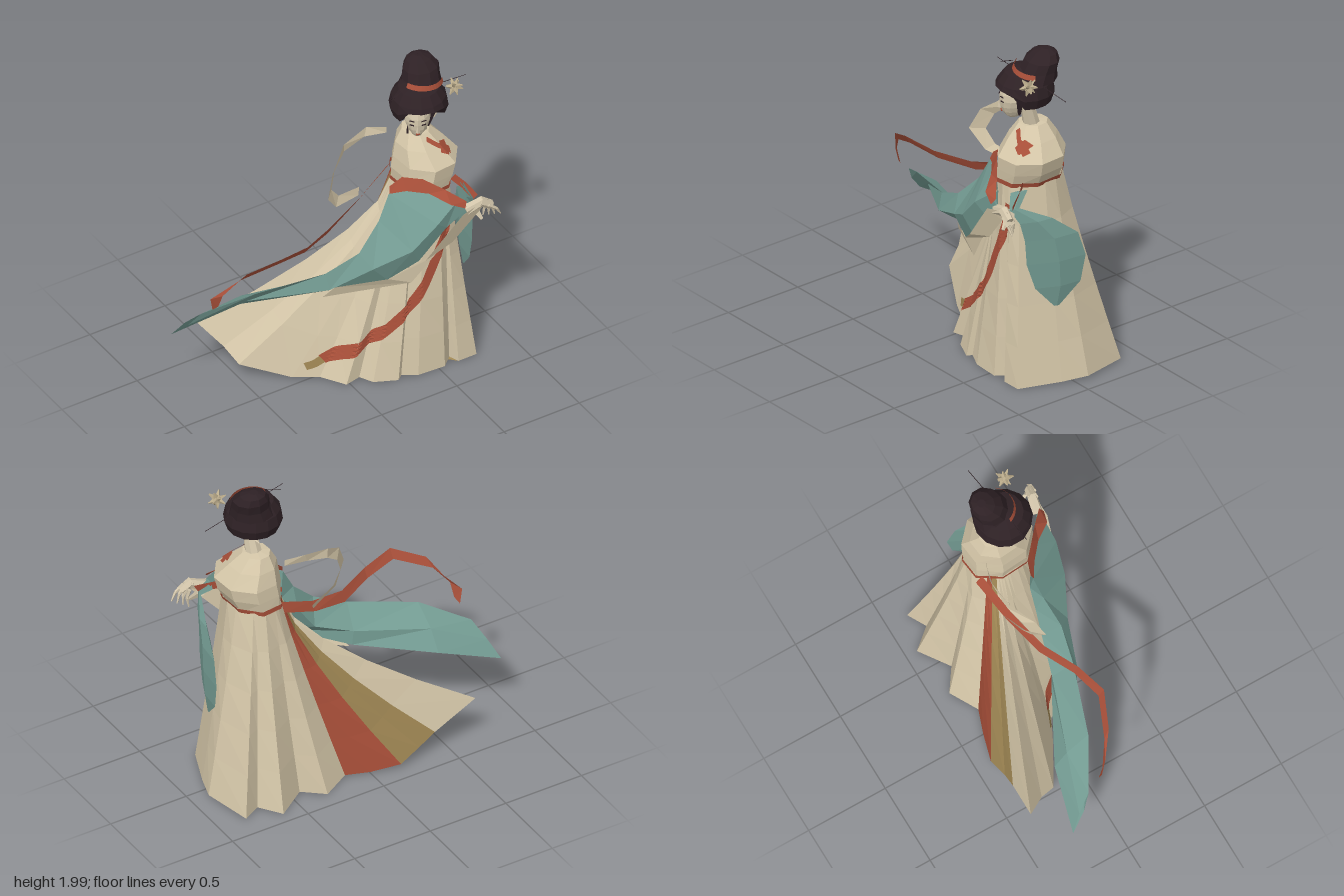
import * as THREE from 'three';

const V = (a) => new THREE.Vector3(...a);
const mat = (name, color) => {
  const m = new THREE.MeshStandardMaterial({ color, flatShading: true, side: THREE.DoubleSide });
  m.name = name;
  return m;
};

// Faceted surface through rows of points; closed joins each row's ends
function loft(rows, closed = false) {
  const out = [];
  for (let i = 0; i < rows.length - 1; i++) {
    const n = rows[i].length;
    for (let j = 0; j < (closed ? n : n - 1); j++) {
      const k = (j + 1) % n;
      const a = rows[i][j], b = rows[i][k], c = rows[i + 1][k], d = rows[i + 1][j];
      out.push(...a, ...b, ...d, ...b, ...c, ...d);
    }
  }
  const g = new THREE.BufferGeometry();
  g.setAttribute('position', new THREE.Float32BufferAttribute(out, 3));
  g.computeVertexNormals();
  return g;
}

const ring = (cx, y, cz, rx, rz, n = 8) => Array.from({ length: n }, (_, i) => {
  const a = (i / n) * Math.PI * 2 + 0.3;
  return [cx + rx * Math.cos(a), y, cz + rz * Math.sin(a)];
});

// Tapered rod between two points
function rod(a, b, r1, r2, sides = 6) {
  const A = V(a), B = V(b), d = B.clone().sub(A);
  const g = new THREE.CylinderGeometry(r2, r1, d.length(), sides);
  g.applyQuaternion(new THREE.Quaternion().setFromUnitVectors(V([0, 1, 0]), d.normalize()));
  const m = A.add(B).multiplyScalar(0.5);
  return g.translate(m.x, m.y, m.z);
}

// Thin painted band laid on the front of a mesh, following x,y points
function drape(target, pts, width, steps = 60) {
  const curve = new THREE.CatmullRomCurve3(pts.map(([x, y]) => V([x, y, 0])));
  const ray = new THREE.Raycaster();
  const rows = [];
  let last = 0.2;
  for (let i = 0; i <= steps; i++) {
    const p = curve.getPointAt(i / steps), t = curve.getTangentAt(i / steps);
    const row = [];
    for (let j = -2; j <= 2; j++) {
      const x = p.x - t.y * width * j / 4, y = p.y + t.x * width * j / 4;
      ray.set(V([x, y, 3]), V([0, 0, -1]));
      const hit = ray.intersectObject(target)[0];
      if (hit) last = hit.point.z;
      row.push([x, y, last + 0.009]);
    }
    rows.push(row);
  }
  return loft(rows);
}

export function createModel() {
  const cream = mat('cream cloth', 0xd4c6a8), skin = mat('skin', 0xd3c6ab), teal = mat('teal cloth', 0x749c93);
  const red = mat('red trim', 0xa84f39), gold = mat('gold cloth', 0x9c8452), hair = mat('dark hair', 0x2e2125);
  const pale = mat('pale ornament', 0xb9aa8a);
  const model = new THREE.Group();
  const add = (name, geo, m) => {
    const mesh = new THREE.Mesh(geo, m);
    mesh.name = name;
    model.add(mesh);
    return mesh;
  };

  // Skirt: pleated hem joined to an oval waist, with a long train
  const hem = [
    [0.9, 0.03, -0.08], [0.85, 0.02, 0.07], [0.75, 0.01, 0.31], [0.63, 0.01, 0.31], [0.6, 0.02, 0.26],
    [0.54, 0.01, 0.31], [0.37, 0.01, 0.3], [0.28, 0.02, 0.26], [0.25, 0.01, 0.28], [0.12, 0.01, 0.22],
    [0.07, 0.02, 0.15], [-0.02, 0.01, 0.16], [-0.11, 0.01, 0.02], [-0.25, 0.02, -0.05], [-0.51, 0.12, -0.2],
    [-0.55, 0.2, -0.3], [-0.65, 0.33, -0.43], [-0.4, 0.17, -0.4], [-0.3, 0.1, -0.395], [-0.17, 0.04, -0.41],
    [0, 0.02, -0.36], [0.14, 0.02, -0.31], [0.31, 0.01, -0.4], [0.44, 0.02, -0.31], [0.62, 0.01, -0.43],
    [0.72, 0.02, -0.31], [0.83, 0.02, -0.37],
  ];
  const columns = hem.map(([x, y, z]) => {
    const a = Math.atan2(z - 0.05, x - 0.54), d = Math.hypot(x - 0.54, z - 0.05);
    const wx = 0.54 + 0.15 * Math.cos(a), wz = 0.05 + 0.2 * Math.sin(a);
    const p = 1.1 + 0.7 * Math.max(0, d - 0.55);
    return [0, 0.2, 0.4, 0.6, 0.8, 1].map((t) => {
      const u = t ** p;
      return [wx + (x - wx) * u, 1.22 + (y - 1.22) * t, wz + (z - wz) * u];
    });
  });
  const skirt = add('skirtFront', loft(columns.slice(0, 18)), cream);
  add('skirtGoldPanel', loft(columns.slice(17, 20)), gold);
  add('skirtRedPanel', loft(columns.slice(19, 22)), red);
  add('skirtBack', loft([...columns.slice(21), columns[0]]), cream);
  add('skirtUnderside', loft([hem, hem.map(() => [0.3, 0.03, 0])], true), gold);
  add('skirtFrontBand', drape(skirt, [[0.6, 1.1], [0.575, 0.95], [0.505, 0.77], [0.42, 0.58], [0.32, 0.44], [0.2, 0.32], [0.04, 0.205], [-0.09, 0.125]], 0.056), red);
  add('skirtBandTip', drape(skirt, [[-0.09, 0.125], [-0.13, 0.1], [-0.18, 0.085]], 0.045, 14), gold);

  // Bodice and belt
  const bodice = add('bodice', loft([
    ring(0.53, 1.2, 0.05, 0.15, 0.205), ring(0.55, 1.29, 0.055, 0.18, 0.21), ring(0.565, 1.37, 0.06, 0.185, 0.21),
    ring(0.54, 1.46, 0.035, 0.138, 0.15), ring(0.525, 1.535, 0.02, 0.08, 0.09), ring(0.525, 1.545, 0.02, 0.001, 0.001),
  ], true), cream);
  add('belt', loft([ring(0.537, 1.236, 0.052, 0.172, 0.217), ring(0.532, 1.207, 0.05, 0.165, 0.217)], true), red);
  add('collarTrim', drape(bodice, [[0.53, 1.515], [0.58, 1.475], [0.62, 1.45], [0.66, 1.415]], 0.022, 20), red);
  add('collarPatch', drape(bodice, [[0.645, 1.435], [0.625, 1.445], [0.595, 1.46]], 0.045, 10), red);

  // Right sleeve, sweeping back into a long tail: top, front, bottom, back
  add('rightSleeve', loft([
    [[-0.8, 0.64, -0.14], [-0.85, 0.54, -0.2], [-0.9, 0.43, -0.3], [-0.85, 0.54, -0.23]],
    [[-0.54, 0.77, 0.01], [-0.54, 0.67, -0.07], [-0.54, 0.55, -0.21], [-0.54, 0.67, -0.13]],
    [[-0.15, 0.84, 0.14], [-0.14, 0.74, 0.17], [-0.11, 0.63, 0.02], [-0.12, 0.72, 0.02]],
    [[0.05, 0.93, 0.18], [0.1, 0.84, 0.25], [0.2, 0.72, 0.24], [0.1, 0.8, 0.08]],
    [[0.2, 1.08, 0.15], [0.3, 0.95, 0.35], [0.36, 0.84, 0.32], [0.2, 0.95, 0.1]],
    [[0.28, 1.23, 0.13], [0.45, 1.1, 0.38], [0.52, 1.04, 0.36], [0.3, 1.05, 0.12]],
    [[0.44, 1.26, 0.23], [0.58, 1.2, 0.37], [0.66, 1.14, 0.38], [0.5, 1.15, 0.25]],
  ], true), teal);
  add('rightSleeveTrim', loft([
    [[0.29, 1.27, 0.12], [0.36, 1.32, 0.14], [0.45, 1.32, 0.22], [0.55, 1.255, 0.3], [0.64, 1.19, 0.38]],
    [[0.28, 1.23, 0.135], [0.36, 1.25, 0.185], [0.46, 1.245, 0.27], [0.54, 1.2, 0.375], [0.62, 1.16, 0.4]],
  ]), red);
  add('rightSleeveLining', loft([
    [[0.78, 1.17, 0.4], [0.6, 1.13, 0.41], [0.38, 0.86, 0.36], [0.2, 0.73, 0.25], [-0.06, 0.68, 0.1]],
    [[0.71, 1.09, 0.39], [0.56, 0.92, 0.36], [0.47, 0.87, 0.34], [0.33, 0.68, 0.29], [-0.11, 0.6, 0.05]],
  ]), cream);

  // Left sleeve: a hanging leaf, narrow from the front
  const leaf = [[0.3, 0.2, 1.22, -0.07], [0.34, 0.28, 1.14, -0.02], [0.29, 0.1, 1.05, 0], [0.26, -0.05, 0.93, 0],
    [0.25, -0.095, 0.78, 0], [0.2, -0.065, 0.62, 0], [0.09, 0.06, 0.49, 0]];
  add('leftSleeve', loft(leaf.map(([f, b, y, dx]) => {
    const x = (z) => 0.83 - 0.29 * z + dx, m = (f + b) / 2, w = (f - b) * 0.09;
    return [[x(f), y, f], [x(m) + w, y, m], [x(b), y, b], [x(m) - w, y, m]];
  }), true), teal);
  add('leftSleeveTrim', loft([
    [[0.67, 1.26, 0.21], [0.71, 1.22, 0.27], [0.74, 1.17, 0.34]],
    [[0.65, 1.22, 0.19], [0.69, 1.18, 0.25], [0.72, 1.13, 0.32]],
  ]), red);

  // Forearm and folded hands
  add('rightForearm', rod([0.64, 1.12, 0.37], [0.74, 1.16, 0.39], 0.035, 0.028), skin);
  add('palm', rod([0.72, 1.165, 0.39], [0.79, 1.12, 0.4], 0.03, 0.026), skin);
  for (let i = 0; i < 4; i++) {
    const z = 0.425 - i * 0.022, knuckle = [0.81 - i * 0.012, 1.1 - i * 0.004, z];
    add('fingerBase', rod([0.76, 1.14, z - 0.005], knuckle, 0.012, 0.01, 5), skin);
    add('fingerTip', rod(knuckle, [0.84 - i * 0.025, 1.05 - i * 0.008, z - 0.005], 0.01, 0.004, 5), skin);
  }
  add('leftHand', rod([0.7, 1.12, 0.33], [0.73, 1.04, 0.4], 0.028, 0.01), skin);

  // Scarf loop and flying ribbon, each between two edges
  add('scarf', loft([
    [[0.41, 1.5, -0.1], [0.3, 1.52, -0.14], [0.13, 1.48, -0.11], [0, 1.38, -0.02], [-0.055, 1.25, 0.02], [0.03, 1.13, -0.03], [0.22, 1.09, -0.1]],
    [[0.41, 1.46, -0.1], [0.28, 1.465, -0.13], [0.14, 1.425, -0.12], [0.05, 1.35, -0.08], [0.01, 1.25, -0.05], [0.07, 1.17, -0.07], [0.24, 1.13, -0.12]],
  ]), cream);
  add('flyingRibbon', loft([
    [[0.44, 1.225, -0.11], [0.2, 1.105, -0.055], [-0.04, 1.04, 0.015], [-0.25, 1.055, 0.115], [-0.45, 1.085, 0.165], [-0.64, 1, 0.085], [-0.745, 0.835, 0], [-0.755, 0.745, -0.03]],
    [[0.44, 1.175, -0.15], [0.2, 1.055, -0.09], [-0.04, 0.98, -0.015], [-0.25, 1, 0.085], [-0.45, 1.03, 0.13], [-0.66, 0.94, 0.045], [-0.795, 0.8, -0.05], [-0.775, 0.71, -0.06]],
  ]), red);

  // Neck and head, turned to the model's right with the chin lowered
  add('neck', rod([0.53, 1.5, 0.03], [0.54, 1.68, 0.08], 0.052, 0.036, 8), skin);
  const head = new THREE.Group();
  head.name = 'head';
  head.position.set(0.485, 1.695, 0.1);
  head.rotation.set(0.12, -0.5, 0, 'YXZ');
  model.add(head);
  const part = (name, geo, m) => head.add(add(name, geo, m));
  const skull = new THREE.SphereGeometry(1, 12, 10).scale(0.08, 0.125, 0.103);
  const pos = skull.attributes.position;
  for (let i = 0; i < pos.count; i++) {
    const drop = Math.max(0, -pos.getY(i)) / 0.125;
    pos.setX(i, pos.getX(i) * (1 - 0.35 * drop));
    pos.setZ(i, pos.getZ(i) * (1 - 0.2 * drop) + 0.035 * drop);
  }
  part('face', skull, skin);
  part('nose', new THREE.ConeGeometry(0.014, 0.05, 4).translate(0, -0.02, 0.106), skin);
  part('lips', new THREE.BoxGeometry(0.022, 0.008, 0.006).translate(0, -0.066, 0.1), red);
  for (const s of [-1, 1]) {
    part('eye', new THREE.BoxGeometry(0.026, 0.004, 0.006).rotateY(s * 0.4).translate(s * 0.034, 0.002, 0.094), hair);
    part('eyebrow', new THREE.BoxGeometry(0.03, 0.003, 0.006).rotateY(s * 0.4).translate(s * 0.034, 0.03, 0.092), hair);
  }
  add('earring', rod([0.41, 1.6, 0.12], [0.41, 1.66, 0.12], 0.007, 0.002, 5), hair);
  add('collarPoint', rod([0.58, 1.67, 0.13], [0.57, 1.675, -0.09], 0.022, 0.003, 4), skin);

  // Hair cap, its rim lifted in an arch over the face
  const cap = new THREE.LatheGeometry([[0, -0.03], [0.09, -0.085], [0.15, -0.08], [0.17, -0.02], [0.157, 0.045], [0.118, 0.1], [0, 0.13]]
    .map(([x, y]) => new THREE.Vector2(x, y)), 14);
  const cp = cap.attributes.position;
  for (let i = 0; i < cp.count; i++) {
    const x = cp.getX(i), y = cp.getY(i), z = cp.getZ(i);
    const facing = (-0.3 * x + 0.95 * z) / (Math.hypot(x, z) || 1);
    if (y < 0.0) cp.setY(i, y + THREE.MathUtils.smoothstep(facing, 0.45, 0.85) * (0.02 - y) * 0.9);
  }
  add('hairCap', cap.translate(0.515, 1.765, 0.07), hair);
  add('sideLock', rod([0.56, 1.71, 0.14], [0.54, 1.61, 0.13], 0.025, 0.008, 5), hair);
  add('topBun', loft([
    ring(0.55, 1.82, 0.03, 0.13, 0.13, 10), ring(0.565, 1.88, 0.015, 0.112, 0.105, 10), ring(0.575, 1.94, -0.005, 0.108, 0.095, 10),
    ring(0.575, 1.98, -0.025, 0.078, 0.066, 10), ring(0.575, 2, -0.035, 0.025, 0.025, 10), ring(0.575, 2, -0.035, 0.001, 0.001, 10),
  ], true), hair);
  add('hairBand', new THREE.CylinderGeometry(0.122, 0.132, 0.03, 12, 1, true, -1.2, 2.1).rotateZ(-0.1).translate(0.555, 1.885, 0.025), red);

  // Flower ornament and hairpins
  const centre = [0.685, 1.86, 0.18];
  add('flowerCentre', new THREE.IcosahedronGeometry(0.028, 0).translate(...centre), pale);
  for (let i = 0; i < 12; i++) {
    const y = 1 - (2 * i + 1) / 12, r = Math.sqrt(1 - y * y), a = i * 2.4;
    const d = [r * Math.cos(a), y, r * Math.sin(a)];
    add('flowerPetal', rod(centre, centre.map((c, k) => c + d[k] * 0.055), 0.022, 0.003, 4), pale);
  }
  add('longHairpin', rod([0.3, 1.87, 0.1], [0.85, 1.785, 0.04], 0.002, 0.002, 4), hair);
  add('shortHairpin', rod([0.32, 1.845, 0.09], [0.42, 1.89, 0.08], 0.002, 0.002, 4), hair);
  return model;
}
